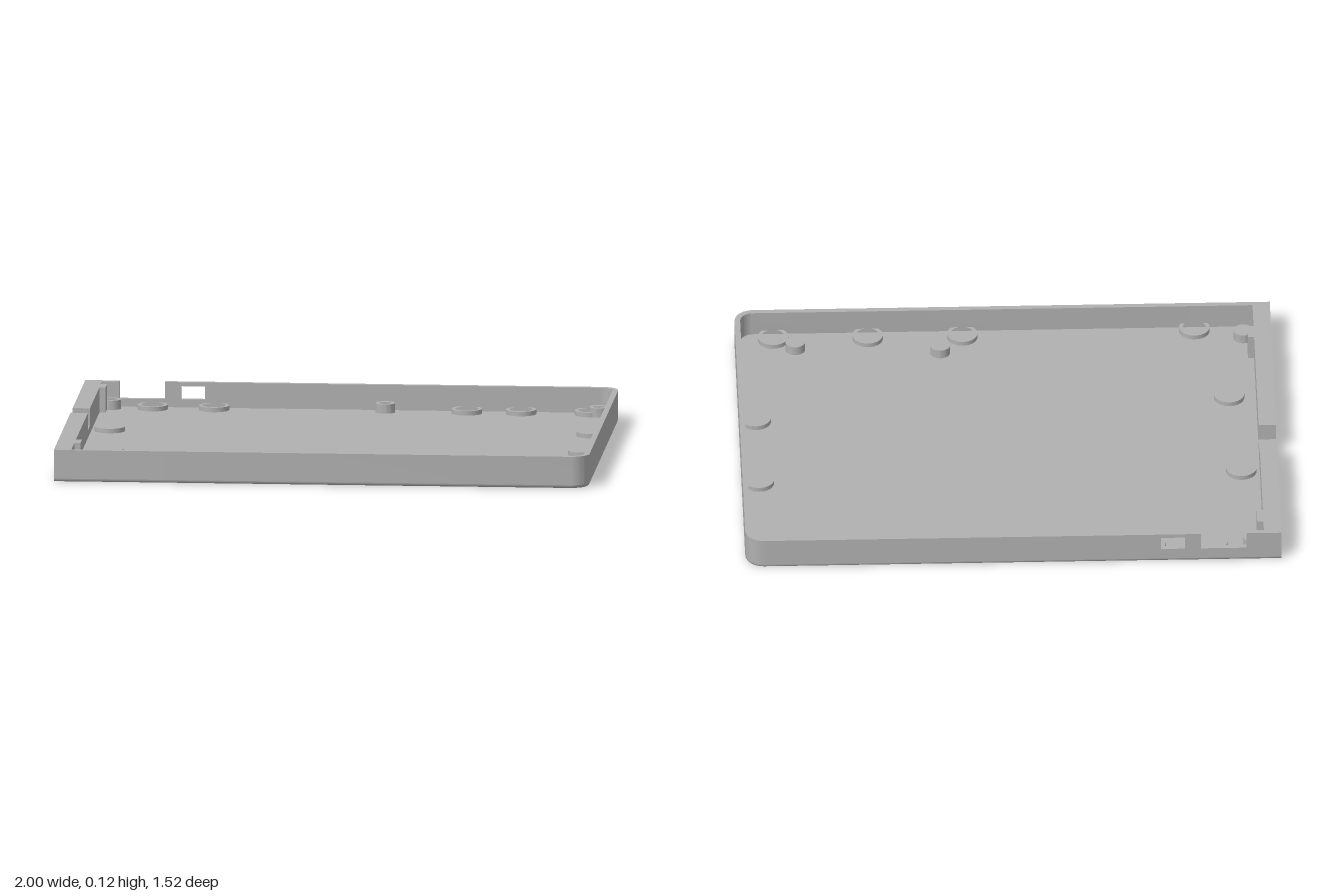
import * as THREE from 'three';
import { toCreasedNormals } from 'three/addons/utils/BufferGeometryUtils.js';

const Z = 0.762, R = 0.07, WALL = 0.021, TOP = 0.12, FLOOR = 0.025, EDGE = 0.012, INNER = -0.935;

export function createModel() {
  const group = new THREE.Group();
  const grey = new THREE.MeshStandardMaterial({ color: 0xb0b0b0 });
  grey.name = 'grey plastic';

  const add = (name, geometry) => {
    const mesh = new THREE.Mesh(toCreasedNormals(geometry, 0.6), grey);
    mesh.name = name;
    group.add(mesh);
  };
  const extrude = (shape, depth) =>
    new THREE.ExtrudeGeometry(shape, { depth, bevelEnabled: false, curveSegments: 24 });
  // plan shapes are drawn from [x, z] pairs and extruded upwards
  const planPoints = (pts) => pts.map(([x, z]) => new THREE.Vector2(x, -z));
  const plan = (pts, y0, y1, hole) => {
    const shape = new THREE.Shape(planPoints(pts));
    if (hole) shape.holes.push(new THREE.Path(planPoints(hole)));
    return extrude(shape, y1 - y0).rotateX(-Math.PI / 2).translate(0, y0, 0);
  };

  // rounded corner in plan, side = -1 back or +1 front, from the back round to the front
  const corner = (d, side) => {
    const pts = [], n = 12;
    for (let i = 0; i <= n; i++) {
      const a = (i / n) * Math.PI / 2 + (side < 0 ? -Math.PI / 2 : 0);
      pts.push([1 - R + (R - d) * Math.cos(a), side * (Z - R) + (R - d) * Math.sin(a)]);
    }
    return pts;
  };
  const outline = (d, x0) => [[x0, -(Z - d)], ...corner(d, -1), ...corner(d, 1), [x0, Z - d]];

  // underside with rounded lower edge on three sides
  const pos = [], index = [], steps = 4;
  let count = 0;
  for (let s = 0; s <= steps; s++) {
    const a = (s / steps) * Math.PI / 2;
    const ring = outline(EDGE * (1 - Math.sin(a)), -1);
    count = ring.length;
    for (const [x, z] of ring) pos.push(x, EDGE * (1 - Math.cos(a)), z);
  }
  for (let i = 1; i < count - 1; i++) index.push(0, i, i + 1);
  for (let s = 0; s < steps; s++) {
    for (let i = 0; i < count; i++) {
      const a = s * count + i, b = s * count + (i + 1) % count;
      index.push(a, a + count, b, b, a + count, b + count);
    }
  }
  const under = new THREE.BufferGeometry();
  under.setAttribute('position', new THREE.Float32BufferAttribute(pos, 3));
  under.setIndex(index);
  add('underside', under);

  // floor plate inside the walls
  add('floor', plan(outline(WALL * 0.6, -0.96), EDGE - 0.002, FLOOR));

  // thin wall along the right end and the front
  const outer = [...corner(0, -1), ...corner(0, 1), [INNER, Z]];
  const inner = [...corner(WALL, -1), ...corner(WALL, 1), [INNER, Z - WALL]];
  add('sideAndFrontWall', plan([...outer, ...inner.reverse()], EDGE, TOP));

  // wall outline with a notch in its top edge
  const notched = (a, b, n0, n1, depth) => new THREE.Shape([
    [a, EDGE], [b, EDGE], [b, TOP], [n1, TOP], [n1, TOP - depth], [n0, TOP - depth], [n0, TOP], [a, TOP],
  ].map(([x, y]) => new THREE.Vector2(x, y)));

  // back wall with a notch and a small port
  const back = notched(INNER, 1 - R, -0.87, -0.70, 0.065);
  back.holes.push(new THREE.Path([
    [-0.64, 0.055], [-0.64, 0.105], [-0.55, 0.105], [-0.55, 0.055],
  ].map(([x, y]) => new THREE.Vector2(x, y))));
  add('backWall', extrude(back, WALL).translate(0, 0, -Z));

  // thick end wall: plain inner layer, outer layer with blind round holes
  const endShape = () => notched(-Z, Z, -0.15, -0.05, 0.065);
  add('endWallInner', extrude(endShape(), 0.015).rotateY(-Math.PI / 2).translate(INNER, 0, 0));
  const drilled = endShape();
  for (const [z, r] of [[-0.65, 0.024], [-0.38, 0.04], [0.03, 0.04], [0.37, 0.04], [0.57, 0.024]]) {
    drilled.holes.push(new THREE.Path().absarc(z, r > 0.03 ? 0.053 : 0.06, r, 0, Math.PI * 2, true));
  }
  add('endWallOuter', extrude(drilled, 0.05).rotateY(-Math.PI / 2).translate(INNER - 0.015, 0, 0));

  // small blocks on the inside of the end wall
  for (const [z0, z1] of [[-0.685, -0.61], [0.53, 0.605]]) {
    add('endWallBlock', plan(
      [[INNER - 0.005, z0], [-0.912, z0], [-0.912, z1], [INNER - 0.005, z1]], FLOOR - 0.005, TOP));
  }

  // circle kept within the rounded outline of the tray
  const circle = (x, z, r, inset) => Array.from({ length: 32 }, (_, i) => {
    const a = (i / 32) * Math.PI * 2;
    let px = x + r * Math.cos(a), pz = z + r * Math.sin(a);
    const cx = Math.min(px, 1 - R), cz = THREE.MathUtils.clamp(pz, -(Z - R), Z - R);
    const d = Math.hypot(px - cx, pz - cz), max = R - inset;
    if (d > max) {
      px = cx + (px - cx) * max / d;
      pz = cz + (pz - cz) * max / d;
    }
    return [px, pz];
  });
  const ring = (name, x, z, ro, ri, h) =>
    add(name, plan(circle(x, z, ro, 0.005), FLOOR - 0.003, FLOOR + h, circle(x, z, ri, 0.012)));

  // low rings round the edge of the floor
  for (const [x, z] of [
    [-0.743, -0.70], [-0.513, -0.70], [0.433, -0.70], [0.636, -0.70], [0.893, -0.70],
    [-0.866, -0.214], [-0.834, 0.273], [0.936, -0.241], [0.936, 0.166],
    [-0.717, 0.717], [0.15, 0.70], [0.503, 0.70], [0.856, 0.70],
  ]) ring('magnetRing', x, z, 0.057, 0.043, 0.017);

  // taller hollow screw posts
  for (const [x, z] of [
    [-0.898, -0.70], [0.128, -0.698], [0.93, -0.674], [0.235, 0.599], [0.775, 0.636], [-0.898, 0.666],
  ]) ring('screwPost', x, z, 0.037, 0.022, 0.035);

  return group;
}
